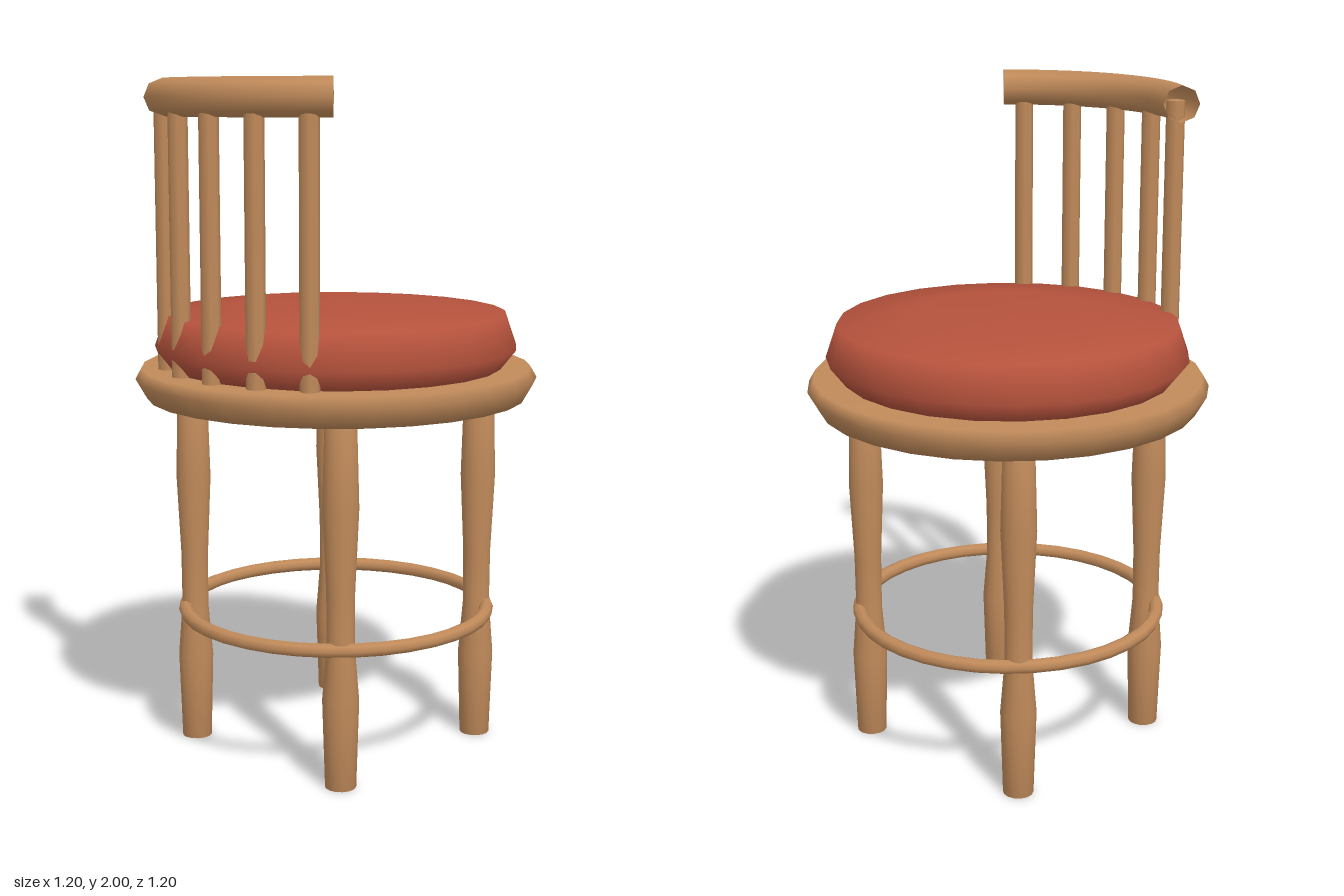
import * as THREE from 'three';

const wood = new THREE.MeshStandardMaterial({ color: 0xc08a5a, side: THREE.DoubleSide });
wood.name = 'wood';
const fabric = new THREE.MeshStandardMaterial({ color: 0xb5523c });
fabric.name = 'red fabric';

// Profiles are [radius, height] pairs, from bottom to top
const lathe = (profile, segments) =>
  new THREE.LatheGeometry(profile.map(([r, y]) => new THREE.Vector2(r, y)), segments);

export function createModel() {
  const model = new THREE.Group();
  model.name = 'barStool';
  const add = (name, geometry, material, x = 0, y = 0, z = 0) => {
    const mesh = new THREE.Mesh(geometry, material);
    mesh.name = name;
    mesh.position.set(x, y, z);
    model.add(mesh);
    return mesh;
  };

  // Round wooden seat and its cushion
  add('seat', lathe([[0, 1.07], [0.565, 1.07], [0.598, 1.128], [0.58, 1.16], [0, 1.16]], 28), wood);
  add('cushion', lathe([[0, 1.155], [0.49, 1.155], [0.54, 1.218], [0.505, 1.32], [0.28, 1.345], [0, 1.35]], 24), fabric);

  // Four turned legs
  const legGeometry = lathe([
    [0, 0], [0.045, 0], [0.053, 0.26], [0.04, 0.42], [0.041, 0.58],
    [0.052, 0.82], [0.045, 1.08], [0, 1.08],
  ], 14);
  for (const x of [-0.305, 0.305]) {
    for (const z of [-0.305, 0.305]) add('leg', legGeometry, wood, x, 0, z);
  }

  // Foot ring
  add('footRing', new THREE.TorusGeometry(0.46, 0.021, 8, 36), wood, 0, 0.415, 0).rotation.x = Math.PI / 2;

  // Back spindles set along an arc
  const backRadius = 0.504;
  const spindleGeometry = new THREE.CylinderGeometry(0.028, 0.028, 0.81, 8);
  for (let i = -2; i <= 2; i++) {
    const angle = THREE.MathUtils.degToRad(i * 17.6);
    add('spindle', spindleGeometry, wood,
      backRadius * Math.sin(angle), 1.545, backRadius * Math.cos(angle));
  }

  // Curved top rail with open ends
  const halfArc = THREE.MathUtils.degToRad(42.5);
  const railGeometry = new THREE.TorusGeometry(backRadius, 0.054, 8, 20, halfArc * 2);
  railGeometry.rotateZ(Math.PI / 2 - halfArc);
  railGeometry.rotateX(Math.PI / 2);
  add('topRail', railGeometry, wood, 0, 1.946, 0);

  return model;
}
